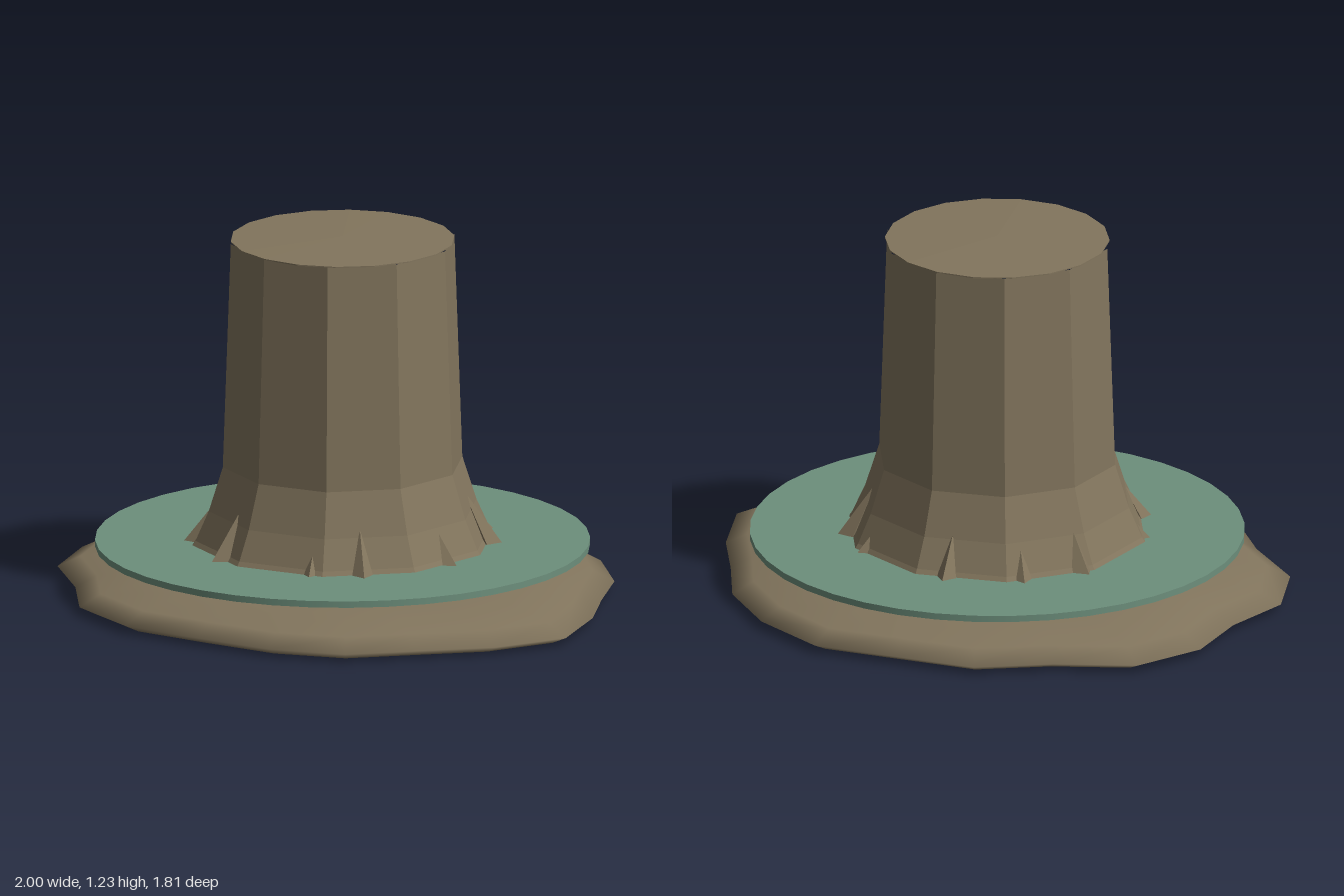
import * as THREE from 'three';
import { mergeVertices } from 'three/addons/utils/BufferGeometryUtils.js';

const bark = new THREE.MeshStandardMaterial({ color: 0x82755d });
bark.name = 'bark brown';
const moss = new THREE.MeshStandardMaterial({ color: 0x6d8f7c });
moss.name = 'moss green';

const CENTRE_X = -0.036;

// faceted look: every face keeps its own normal
function faceted(geometry) {
  const g = geometry.index ? geometry.toNonIndexed() : geometry;
  g.computeVertexNormals();
  return g;
}

function add(parent, name, geometry, material) {
  const mesh = new THREE.Mesh(geometry, material);
  mesh.name = name;
  parent.add(mesh);
  return mesh;
}

// irregular outline of the earth mound (x, z), counter-clockwise from +x through +z
const outline = [
  [0.995, 0], [0.91, 0.25], [0.75, 0.47], [0.61, 0.665], [0.38, 0.79], [0.1, 0.85],
  [-0.18, 0.9], [-0.46, 0.83], [-0.65, 0.65], [-0.885, 0.49], [-1, 0.25], [-0.97, 0],
  [-1, -0.25], [-0.905, -0.49], [-0.66, -0.63], [-0.45, -0.8], [-0.17, -0.855],
  [0.11, -0.91], [0.38, -0.815], [0.6, -0.65], [0.74, -0.44], [0.88, -0.25],
];

// loft through scaled copies of the outline: [scale, y]
function mound(rings) {
  const n = outline.length, pos = [], index = [];
  for (const [s, y] of rings)
    for (const [x, z] of outline)
      pos.push(CENTRE_X + (x - CENTRE_X) * s, y, z * s);
  for (let r = 0; r < rings.length - 1; r++)
    for (let i = 0; i < n; i++) {
      const a = r * n + i, b = r * n + (i + 1) % n;
      index.push(a, a + n, b, b, a + n, b + n);
    }
  const g = new THREE.BufferGeometry();
  g.setAttribute('position', new THREE.Float32BufferAttribute(pos, 3));
  g.setIndex(index);
  const merged = mergeVertices(g);
  merged.computeVertexNormals();
  return merged;
}

export function createModel() {
  const model = new THREE.Group();
  model.name = 'treeStump';

  // low earth mound, smooth on top and flat underneath
  const ground = new THREE.Group();
  ground.name = 'mound';
  model.add(ground);
  add(ground, 'moundTop', mound([[0.94, 0], [1, 0.028], [0.92, 0.068], [0.72, 0.1], [0.5, 0.117], [0.02, 0.12]]), bark);
  add(ground, 'moundUnderside', mound([[0.01, 0], [0.94, 0]]), bark);

  const stump = new THREE.Group();
  stump.name = 'stump';
  stump.position.x = CENTRE_X;
  model.add(stump);

  // thin moss disc around the foot
  const disc = add(stump, 'mossDisc', new THREE.CylinderGeometry(0.828, 0.828, 0.022, 40), moss);
  disc.position.y = 0.174;

  // ten-sided trunk with flared foot
  const profile = [[0.575, 0.09], [0.5, 0.2], [0.455, 0.3], [0.407, 0.45], [0.38, 1.22]]
    .map(([r, y]) => new THREE.Vector2(r, y));
  add(stump, 'trunk', faceted(new THREE.LatheGeometry(profile, 10)), bark);

  // slightly domed cut top, poking past the flat trunk sides
  const cap = [[0, 1.212], [0.376, 1.218], [0.376, 1.222], [0, 1.23]]
    .map(([r, y]) => new THREE.Vector2(r, y));
  add(stump, 'cutTop', faceted(new THREE.LatheGeometry(cap, 18)), bark);

  // small pointed root ridges leaning on the foot
  const heights = [0.2, 0.29, 0.17, 0.24, 0.21, 0.27, 0.16, 0.23, 0.28, 0.18, 0.25];
  heights.forEach((h, i) => {
    const root = new THREE.Group();
    root.name = 'root' + (i + 1);
    root.rotation.y = (i / heights.length) * Math.PI * 2 + 0.12 * Math.sin(i * 2.3);
    stump.add(root);
    const ridge = add(root, 'rootRidge', faceted(new THREE.ConeGeometry(0.055, h, 4)), bark);
    ridge.position.set(0.535 - h * 0.24, 0.09 + h / 2, 0);
    ridge.rotation.z = 0.44;
  });

  return model;
}
